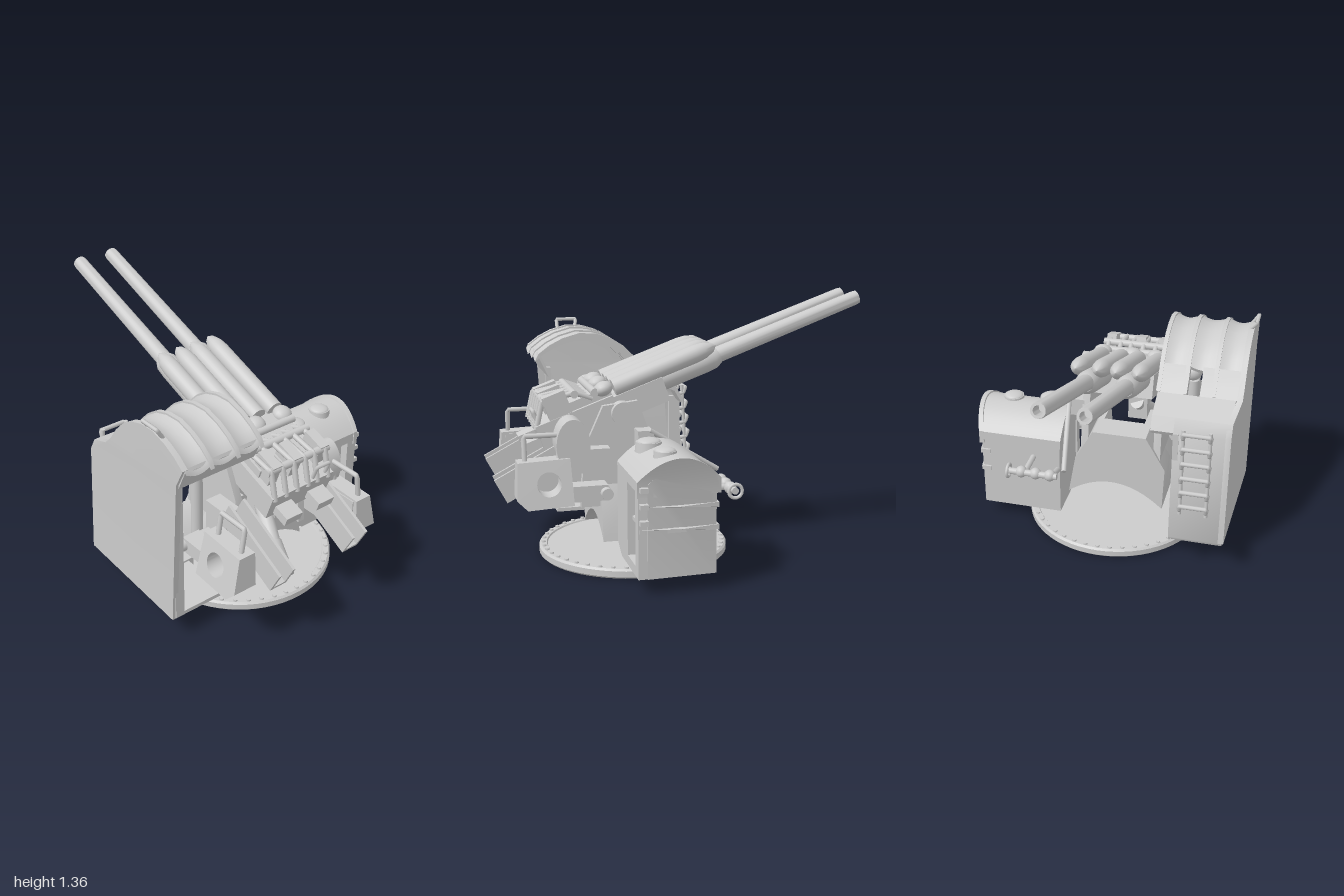
import * as THREE from 'three';
import { toCreasedNormals } from 'three/addons/utils/BufferGeometryUtils.js';

const mat = new THREE.MeshStandardMaterial({ color: 0xcccccc, side: THREE.DoubleSide });
const V = (p) => new THREE.Vector3(...p);

function add(parent, name, geo, x = 0, y = 0, z = 0) {
  const m = new THREE.Mesh(geo, mat);
  m.name = name;
  m.position.set(x, y, z);
  parent.add(m);
  return m;
}
// box given by its limits on each axis
function box(parent, name, [x0, x1], [y0, y1], [z0, z1]) {
  return add(parent, name, new THREE.BoxGeometry(x1 - x0, y1 - y0, z1 - z0),
    (x0 + x1) / 2, (y0 + y1) / 2, (z0 + z1) / 2);
}
// round bar between two points
function rod(parent, name, a, b, r, r2 = r, seg = 16) {
  const A = V(a), B = V(b), d = B.clone().sub(A);
  const m = add(parent, name, new THREE.CylinderGeometry(r2, r, d.length(), seg));
  m.position.copy(A).add(B).multiplyScalar(0.5);
  m.quaternion.setFromUnitVectors(new THREE.Vector3(0, 1, 0), d.normalize());
  return m;
}
// bent pipe with straight runs
function pipe(parent, name, pts, r = 0.01) {
  const path = new THREE.CurvePath();
  for (let i = 1; i < pts.length; i++) path.add(new THREE.LineCurve3(V(pts[i - 1]), V(pts[i])));
  return add(parent, name, new THREE.TubeGeometry(path, pts.length * 8, r, 8));
}
const shapeOf = (pts) => new THREE.Shape(pts.map((p) => new THREE.Vector2(...p)));
// xy outline extruded from z0 to z1, optionally reshaped by a rule on each vertex
function slab(shape, z0, z1, rule, steps = 1) {
  const g = new THREE.ExtrudeGeometry(shape, { depth: z1 - z0, steps, bevelEnabled: false, curveSegments: 20 });
  g.translate(0, 0, z0);
  if (rule) {
    const p = g.attributes.position, v = new THREE.Vector3();
    for (let i = 0; i < p.count; i++) {
      rule(v.fromBufferAttribute(p, i));
      p.setXYZ(i, v.x, v.y, v.z);
    }
  }
  return toCreasedNormals(g, 0.6);
}
// (z, y) outline extruded from x0 to x1
function slabX(shape, x0, x1) {
  return slab(shape, 0, x1 - x0).rotateY(-Math.PI / 2).translate(x1, 0, 0);
}
// thin bent sheet following an xy line, sagging between its two edges
function sheet(parent, name, line, z0, z1, t = 0.02, sag = 0) {
  const inner = line.map(([x, y]) => [x + t * 0.5, y - t]).reverse();
  const rule = (v) => { v.y -= sag * Math.sin(Math.PI * (v.z - z0) / (z1 - z0)); };
  return add(parent, name, slab(shapeOf([...line, ...inner]), z0, z1, rule, sag ? 6 : 1));
}

function buildBase(g) {
  const prof = [[0, 0], [0.49, 0], [0.5, 0.01], [0.5, 0.04], [0.49, 0.05], [0.46, 0.05], [0.455, 0.042], [0, 0.042]];
  add(g, 'turntable', toCreasedNormals(new THREE.LatheGeometry(prof.map((p) => new THREE.Vector2(...p)), 64), 0.5), 0.25, 0, 0.02);
  for (let i = 0; i < 44; i++) {
    const a = (i / 44) * Math.PI * 2;
    add(g, 'rimBolt', new THREE.CylinderGeometry(0.011, 0.013, 0.012, 6), 0.25 + 0.477 * Math.cos(a), 0.053, 0.02 + 0.477 * Math.sin(a));
  }
  box(g, 'shieldSupport', [0.18, 0.3], [0.04, 0.15], [0.36, 0.52]);
  box(g, 'cabinSupport', [0.08, 0.32], [0.04, 0.1], [-0.4, -0.28]);
}

function buildCarriage(g) {
  // arched body, with a slot for the ram in its rear half
  const arched = (inner) => {
    const s = shapeOf([[0.3, 0.09], [0.31, 0.35], [0.2, 0.54], ...inner, [-0.1, 0.54], [-0.2, 0.36], [-0.24, 0.13]]);
    s.quadraticCurveTo(0.03, 0.34, 0.3, 0.09);
    return s;
  };
  add(g, 'archedCarriage', slabX(arched([]), 0.14, 0.3));
  add(g, 'slottedCarriage', slabX(arched([[0.16, 0.54], [0.14, 0.28], [-0.05, 0.28], [-0.07, 0.54]]), 0.3, 0.46));
  // cheeks carrying the gun cradle
  const cheek = shapeOf([[0.14, 0.3], [0.56, 0.3], [0.54, 0.6], [0.44, 0.82], [0.26, 0.84], [0.18, 0.62]]);
  for (const z of [-0.17, 0.24]) add(g, 'cradleCheek', slab(cheek, z, z + 0.04));
  rod(g, 'trunnion', [0.34, 0.78, -0.2], [0.34, 0.78, 0.34], 0.06, 0.06, 24);
  rod(g, 'sideDrum', [0.61, 0.65, -0.275], [0.61, 0.65, -0.13], 0.13, 0.13, 28).scale.x = 0.65;
  box(g, 'drumBracket', [0.42, 0.62], [0.5, 0.62], [-0.25, -0.14]);
  // elevating ram reaching down to the rear
  rod(g, 'elevatingRam', [0.46, 0.58, 0.08], [0.76, 0.33, 0.19], 0.04);
  rod(g, 'ramEnd', [0.69, 0.39, 0.17], [0.82, 0.275, 0.21], 0.05, 0.062, 20);
  box(g, 'gearHousing', [0.46, 0.58], [0.47, 0.62], [0.03, 0.14]);
  rod(g, 'crossShaft', [0.45, 0.4, -0.32], [0.45, 0.4, 0.6], 0.03);
  box(g, 'gearCase', [0.42, 0.58], [0.38, 0.58], [0.28, 0.37]);
  // sight column
  rod(g, 'sightColumn', [0.4, 0.3, 0.41], [0.4, 0.8, 0.41], 0.03);
  add(g, 'sightHead', new THREE.SphereGeometry(0.052, 20, 14), 0.42, 0.84, 0.4);
  rod(g, 'sightArm', [0.42, 0.8, 0.24], [0.42, 0.8, 0.44], 0.025);
}

function buildGuns(parent) {
  const g = new THREE.Group();
  g.name = 'twinGun';
  g.position.set(0.35, 0.836, 0);
  g.rotation.z = -0.349;
  parent.add(g);
  // profile: radius against distance, pointing to -x
  const turned = (name, pts, y, z) => add(g, name, toCreasedNormals(
    new THREE.LatheGeometry(pts.map((p) => new THREE.Vector2(...p)), 24).rotateZ(Math.PI / 2), 0.7), 0, y, z);
  for (const z of [-0.045, 0.16]) {
    turned('barrel', [[0, 0.1], [0.05, 0.1], [0.043, 0.5], [0.038, 1.4], [0.035, 1.418], [0.023, 1.418], [0.022, 1.33], [0, 1.33]], 0.004, z);
    turned('barrelJacket', [[0, -0.1], [0.062, -0.1], [0.062, 0.5], [0.058, 0.56], [0.043, 0.59]], 0, z);
    turned('breechRing', [[0, -0.3], [0.07, -0.3], [0.075, -0.26], [0.075, -0.1], [0.06, -0.06]], -0.03, z);
    box(g, 'loadingTray', [0.25, 0.53], [-0.08, -0.03], [z - 0.05, z + 0.05]);
  }
  for (const z of [-0.105, 0.005, 0.1, 0.21]) {
    turned('recoilCylinder', [[0, 0], [0.046, 0], [0.047, 0.46], [0.042, 0.51], [0.026, 0.555], [0, 0.58]], 0.068, z);
  }
  box(g, 'cradle', [-0.25, 0.3], [-0.1, 0.03], [-0.14, 0.24]);
  box(g, 'breechBlock', [0.02, 0.44], [-0.1, 0.04], [-0.14, 0.25]);
  box(g, 'loaderDeck', [0.02, 0.3], [0.03, 0.085], [-0.12, 0.23]);
  // loader guides above the breech
  for (const z of [-0.11, -0.04, 0.02, 0.09, 0.16, 0.23]) {
    pipe(g, 'loaderGuide', [[0.12, 0.06, z], [0.19, 0.12, z], [0.36, 0.145, z], [0.44, 0.02, z]], 0.014);
  }
  for (const [x, y] of [[0.1, 0.09], [0.2, 0.12], [0.35, 0.135]]) rod(g, 'loaderCrossbar', [x, y, -0.14], [x, y, 0.25], 0.02);
  for (const z of [-0.11, 0.06, 0.19]) {
    add(g, 'loaderHousing', new THREE.SphereGeometry(0.05, 16, 12), 0.05, 0.085, z).scale.set(1, 0.75, 1);
    box(g, 'loaderBlock', [0.24, 0.36], [0.02, 0.16], [z - 0.025, z + 0.03]);
  }
  pipe(g, 'rearHandle', [[0.42, 0.0, -0.1], [0.42, 0.11, -0.1], [0.42, 0.11, -0.02], [0.42, 0.0, -0.02]], 0.01);
}

// dir is the outward z direction
function buildStation(parent, zIn, dir, chuteZ) {
  const g = new THREE.Group();
  g.name = 'crewStation';
  g.position.z = zIn;
  g.scale.z = dir;
  parent.add(g);
  const s = shapeOf([[0.62, 0.36], [0.85, 0.35], [0.9, 0.4], [0.89, 0.58], [0.63, 0.59]]);
  s.holes.push(new THREE.Path().absarc(0.74, 0.47, 0.06, 0, Math.PI * 2));
  // outer face leans inward toward the top
  add(g, 'seatBox', slab(s, 0, 0.14, (v) => { v.z *= 1 - (v.y - 0.35) * 1.5; }));
  box(g, 'seatBack', [0.64, 0.87], [0.38, 0.57], [-0.005, 0.02]);
  pipe(g, 'gripFrame', [[0.68, 0.57, 0.05], [0.68, 0.7, 0.03], [0.85, 0.7, 0.03], [0.85, 0.57, 0.05]], 0.013);
  box(g, 'seatArm', [0.44, 0.64], [0.36, 0.44], [-0.02, 0.08]);
  // open channel sloping down to the rear
  const c = new THREE.Group();
  c.name = 'ejectionChute';
  c.position.set(0.965, 0.415, chuteZ);
  c.rotation.z = -0.48;
  g.add(c);
  box(c, 'chuteFloor', [-0.42, 0], [-0.07, -0.05], [-0.05, 0.05]);
  for (const z of [-0.05, 0.035]) box(c, 'chuteWall', [-0.42, 0], [-0.07, 0.065], [z, z + 0.015]);
}

function buildShield(g) {
  const lower = [[-0.14, 0.12], [-0.1, 0.75], [-0.06, 0.82], [0.08, 0.88]];
  const slope = [[0.08, 0.88], [0.13, 0.93], [0.18, 1.0]];
  const roof = [[0.18, 1.0], [0.24, 1.06], [0.31, 1.105], [0.39, 1.13], [0.48, 1.135], [0.57, 1.11], [0.64, 1.075], [0.7, 1.03]];
  // side plate, turned slightly inward at its front edge
  add(g, 'shieldSide', slab(shapeOf([...lower, ...slope.slice(1), ...roof.slice(1), [0.65, 0.93], [0.6, 0.12]]), 0.685, 0.715,
    (v) => { if (v.x < 0) v.z -= 0.025; }));
  sheet(g, 'shieldFront', lower, 0.39, 0.68);
  sheet(g, 'frontShelf', lower.slice(1), 0.27, 0.4);
  sheet(g, 'sightSlopeOuter', slope, 0.49, 0.7);
  sheet(g, 'sightSlopeInner', slope, 0.27, 0.42);
  // roof bands hung between ribs
  const edges = [0.27, 0.41, 0.56, 0.7];
  for (let i = 0; i < 3; i++) sheet(g, 'roofBand', roof, edges[i], edges[i + 1], 0.02, 0.022);
  const arc = [...slope, ...roof.slice(1)].map(([x, y]) => [x, y + 0.004]);
  for (const z of [0.26, 0.4, 0.55]) sheet(g, 'roofRib', arc, z, z + 0.022, 0.04);
  sheet(g, 'roofRearLip', [[0.64, 0.92], [0.69, 1.03]], 0.26, 0.7, 0.015);
  box(g, 'shieldFloor', [-0.13, 0.6], [0.12, 0.14], [0.39, 0.69]);
  box(g, 'rearEdge', [0.58, 0.61], [0.13, 0.9], [0.65, 0.7]);
  box(g, 'frontInnerFrame', [-0.11, -0.05], [0.13, 0.75], [0.39, 0.42]);
  box(g, 'floorBeam', [-0.02, 0.38], [0.08, 0.13], [0.4, 0.45]);
  pipe(g, 'roofHandle', [[0.43, 1.12, 0.69], [0.42, 1.165, 0.725], [0.53, 1.165, 0.725], [0.53, 1.11, 0.69]], 0.01);
  // hooked rungs and rack on the front
  for (let i = 0; i < 6; i++) {
    const y = 0.32 + i * 0.085, x = -0.125 + i * 0.005;
    pipe(g, 'frontRung', [[x, y, 0.45], [x - 0.05, y + 0.01, 0.45], [x - 0.06, y + 0.04, 0.45],
      [x - 0.06, y + 0.04, 0.59], [x - 0.05, y + 0.01, 0.59], [x, y, 0.59]], 0.012);
  }
  for (const z of [0.45, 0.59]) rod(g, 'rackPost', [-0.165, 0.3, z], [-0.14, 0.8, z], 0.01);
}

function buildCabin(g) {
  const arch = (x0, x1, y0, y1, top) => {
    const s = shapeOf([[x0, y0], [x1, y0], [x1, y1]]);
    s.quadraticCurveTo((x0 + x1) / 2, top * 2 - y1, x0, y1);
    return s;
  };
  // far wall bows outward at the middle
  const bow = (v) => { if (v.z < -0.6) v.z += 0.035 * ((v.x - 0.19) / 0.2) ** 2; };
  add(g, 'cabinBody', slab(arch(0.0, 0.34, 0.08, 0.54, 0.64), -0.725, -0.25, bow));
  add(g, 'cabinHood', slab(arch(-0.015, 0.385, 0.5, 0.55, 0.66), -0.735, -0.24, bow));
  add(g, 'cabinRoofRim', slab(arch(-0.02, 0.39, 0.48, 0.555, 0.668), -0.74, -0.715, bow));
  // rear wall with a recessed hatch
  const wall = shapeOf([[-0.7, 0.08], [-0.33, 0.08], [-0.24, 0.13], [-0.24, 0.54], [-0.7, 0.54]]);
  wall.holes.push(shapeOf([[-0.64, 0.13], [-0.47, 0.13], [-0.47, 0.52], [-0.64, 0.52]]));
  add(g, 'hatchWall', slabX(wall, 0.33, 0.385));
  box(g, 'hatchSill', [0.33, 0.36], [0.31, 0.33], [-0.64, -0.47]);
  box(g, 'hatchMullion', [0.33, 0.355], [0.33, 0.52], [-0.56, -0.545]);
  const band = (y) => shapeOf([[-0.012, y], [0.38, y], [0.38, y + 0.025], [0.19, y + 0.025], [-0.012, y + 0.025]]);
  for (const y of [0.3, 0.41]) add(g, 'cabinBand', slab(band(y), -0.735, -0.68, bow));
  for (const [x, z, r] of [[0.22, -0.57, 0.06], [0.25, -0.36, 0.07]]) {
    rod(g, 'hatchDomeRing', [x, 0.62, z], [x, 0.67, z], r, r * 0.92, 24);
    add(g, 'hatchDome', new THREE.SphereGeometry(r * 0.85, 24, 8, 0, Math.PI * 2, 0, Math.PI / 2), x, 0.668, z).scale.y = 0.35;
  }
  for (const y of [0.36, 0.44, 0.52]) box(g, 'hatchHinge', [0.34, 0.38], [y - 0.012, y + 0.012], [-0.73, -0.69]);
  // control pipes beside the cabin
  box(g, 'pipeMount', [0.2, 0.28], [0.6, 0.7], [-0.26, -0.16]);
  rod(g, 'diagonalPipe', [0.22, 0.7, -0.25], [-0.16, 0.46, -0.18], 0.014);
  pipe(g, 'valveBracket', [[0.0, 0.42, -0.4], [-0.16, 0.42, -0.4], [-0.16, 0.42, -0.25], [0.0, 0.36, -0.26]], 0.016);
  rod(g, 'valveStem', [-0.16, 0.42, -0.49], [-0.16, 0.42, -0.22], 0.018);
  for (const z of [-0.42, -0.34, -0.26]) add(g, 'valveBody', new THREE.SphereGeometry(0.032, 14, 10), -0.155, 0.42, z);
  add(g, 'valveWheel', new THREE.TorusGeometry(0.035, 0.009, 8, 20), -0.16, 0.42, -0.49);
}

export function createModel() {
  const model = new THREE.Group();
  model.name = 'twinGunMount';
  buildBase(model);
  buildCarriage(model);
  buildGuns(model);
  buildStation(model, 0.45, 1, -0.11);
  buildStation(model, -0.2, -1, -0.07);
  buildShield(model);
  buildCabin(model);
  return model;
}
